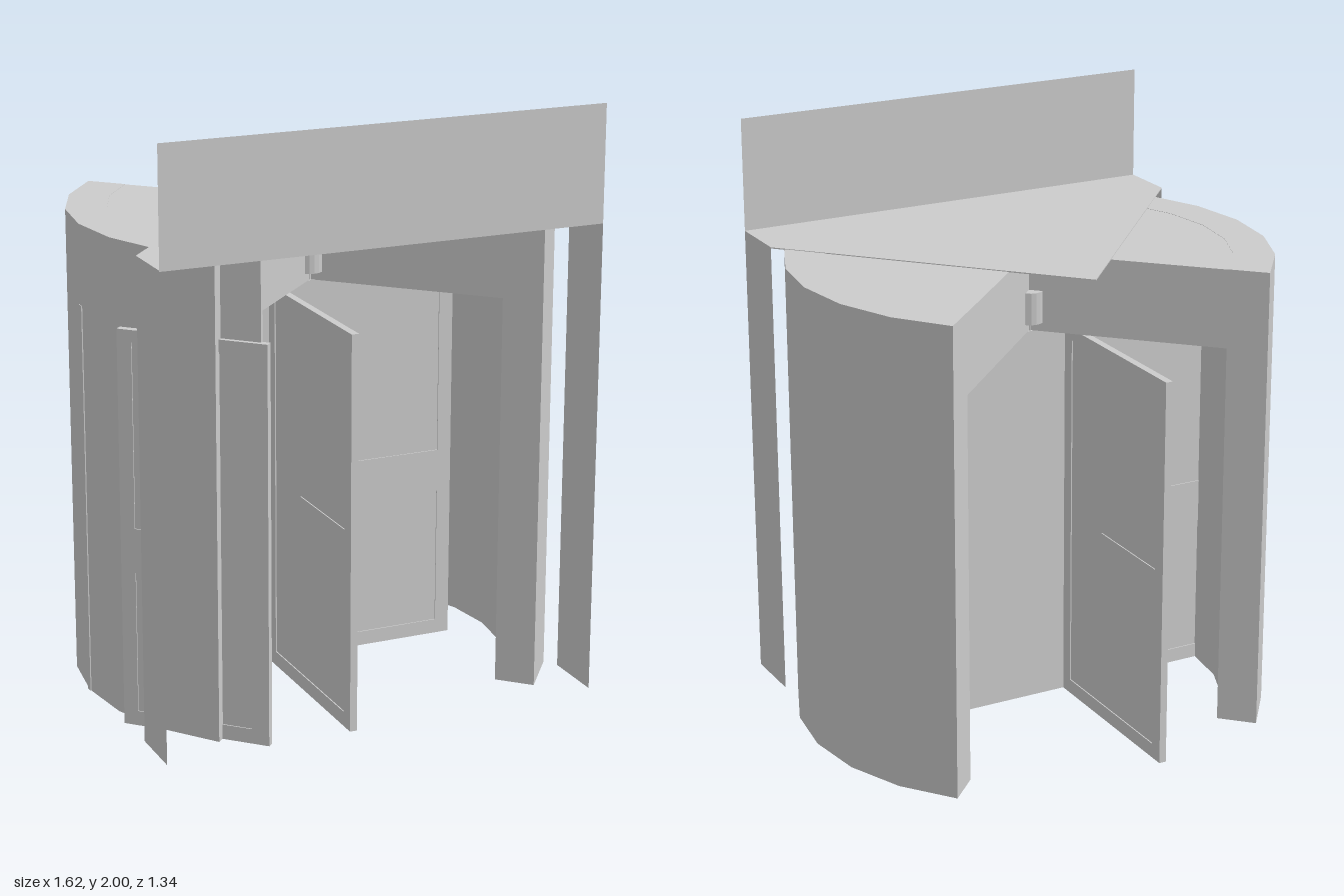
import * as THREE from 'three';

const grey = new THREE.MeshStandardMaterial({ color: 0xcccccc, flatShading: true, side: THREE.DoubleSide });
const DOOR_H = 1.34, TOP = 1.61;

function add(parent, name, geometry, x = 0, y = 0, z = 0) {
  const mesh = new THREE.Mesh(geometry, grey);
  mesh.name = name;
  mesh.position.set(x, y, z);
  parent.add(mesh);
  return mesh;
}

const shapeOf = (points) => new THREE.Shape(points.map(([x, y]) => new THREE.Vector2(x, y)));

// Plan outline in (x, z) raised from y0 to y1
function prism(points, y0, y1) {
  const g = new THREE.ExtrudeGeometry(shapeOf(points.map(([x, z]) => [x, -z])), { depth: y1 - y0, bevelEnabled: false });
  return g.rotateX(-Math.PI / 2).translate(0, y0, 0);
}

// Quarter arc in six straight facets, on the side given by sign
function arc(radius, sign) {
  return Array.from({ length: 7 }, (_, i) => {
    const a = THREE.MathUtils.degToRad(-45 + 15 * i);
    return [sign * radius * Math.cos(a), radius * Math.sin(a)];
  });
}

// Door wing along local +x, with a raised frame and push plate on one face
function wing(name, length, notchStart, faceSign) {
  const group = new THREE.Group();
  group.name = name;
  const slab = 0.021, rim = 0.004;
  add(group, 'wingPanel', new THREE.BoxGeometry(length, DOOR_H, slab), length / 2, DOOR_H / 2, -faceSign * rim / 2);
  const frame = shapeOf([[0, 0], [length, 0], [length, DOOR_H], [0, DOOR_H]]);
  const tip = length - 0.05;
  frame.holes.push(new THREE.Path([
    [0.06, 0.05], [tip, 0.05], [tip, 0.53], [notchStart, 0.53],
    [notchStart, 0.68], [tip, 0.68], [tip, 1.3], [0.06, 1.3],
  ].map(([x, y]) => new THREE.Vector2(x, y))));
  const g = new THREE.ExtrudeGeometry(frame, { depth: rim, bevelEnabled: false });
  const inner = faceSign * (slab - rim) / 2;
  add(group, 'wingFrame', g, 0, 0, faceSign > 0 ? inner : inner - rim);
  return group;
}

export function createModel() {
  const model = new THREE.Group();
  model.name = 'revolvingDoor';

  // Curved side walls and the wedge-shaped ceiling blocks between them
  for (const [side, s] of [['left', 1], ['right', -1]]) {
    add(model, side + 'CurvedWall', prism([...arc(0.81, s), ...arc(0.673, s).reverse()], 0, TOP));
    add(model, side + 'CeilingBlock', prism([[0, 0], ...arc(0.674, s)], DOOR_H, TOP - 0.001));
  }

  // Thin canopy with a pointed back
  add(model, 'canopy', prism([[-0.79, 0.67], [0.73, 0.67], [0.73, 0.45], [-0.04, -0.375], [-0.79, 0.47]], TOP - 0.002, TOP + 0.002));

  // Fascia above the entrance and the two flat side panels
  add(model, 'fascia', new THREE.PlaneGeometry(1.52, 2 - TOP), -0.03, (2 + TOP) / 2, 0.67);
  for (const [name, x, back] of [['leftSidePanel', 0.73, 0.45], ['rightSidePanel', -0.79, 0.47]]) {
    const g = new THREE.PlaneGeometry(0.67 - back, TOP).rotateY(Math.PI / 2);
    add(model, name, g, x, TOP / 2, (0.67 + back) / 2);
  }

  // Four crossed wings
  const wings = new THREE.Group();
  wings.name = 'wings';
  wings.position.x = -0.142;
  for (let i = 0; i < 4; i++) {
    const w = wing('wing' + (i + 1), 0.67, 0.27, 1);
    w.rotation.y = i * Math.PI / 2;
    wings.add(w);
  }
  model.add(wings);

  // Separate leaf standing diagonally at the right wall's front end
  const leaf = wing('sideLeaf', 0.51, 0.2, -1);
  leaf.position.set(-0.43, 0, 0.66);
  leaf.rotation.y = THREE.MathUtils.degToRad(135);
  model.add(leaf);
  const post = add(model, 'leafPost', new THREE.BoxGeometry(0.15, TOP, 0.015), -0.495, TOP / 2, 0.58);
  post.rotation.y = -Math.PI / 4;

  // Bearing at the centre of the ceiling
  add(model, 'bearing', new THREE.CylinderGeometry(0.045, 0.045, 0.11, 16), -0.003, 1.425, 0);
  add(model, 'bearingPin', new THREE.CylinderGeometry(0.006, 0.006, 0.04, 8), -0.003, 1.355, 0);

  return model;
}
